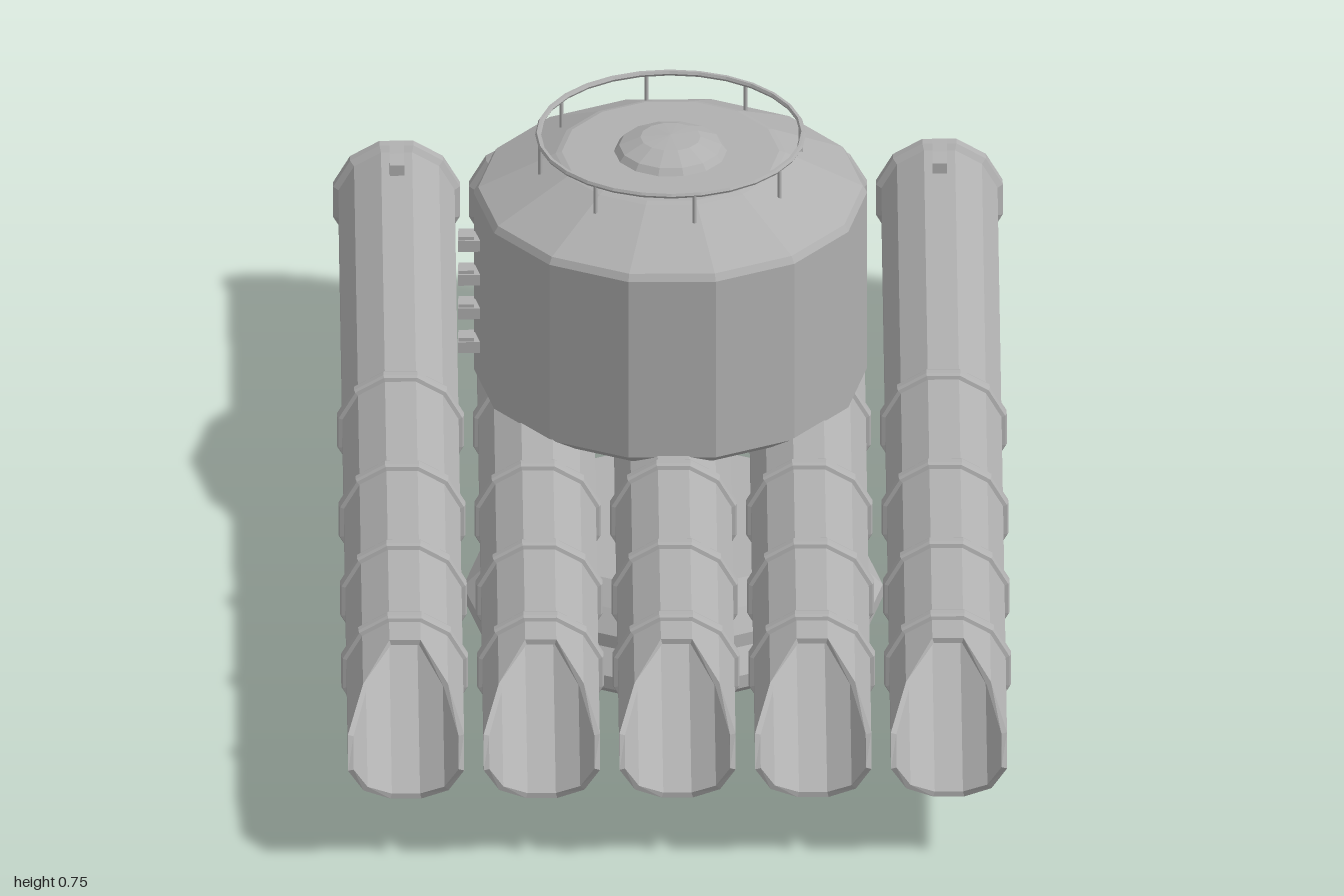
import * as THREE from 'three';

const TUBE_Y = 0.2115;

export function createModel() {
  const grey = new THREE.MeshStandardMaterial({ color: 0xb0b0b0, flatShading: true });
  grey.name = 'plain grey';
  const model = new THREE.Group();
  model.name = 'tubeLauncher';

  const add = (parent, name, geometry, x = 0, y = 0, z = 0) => {
    const mesh = new THREE.Mesh(geometry, grey);
    mesh.name = name;
    mesh.position.set(x, y, z);
    parent.add(mesh);
    return mesh;
  };
  const box = (parent, name, w, h, d, x, y, z) =>
    add(parent, name, new THREE.BoxGeometry(w, h, d), x, y, z);

  // faceted turned solid whose flats face +z and -z
  const turned = (profile, sides) => new THREE.LatheGeometry(
    profile.map(([r, y]) => new THREE.Vector2(r, y)), sides, Math.PI / sides);
  const along = (profile) => turned(profile, 12).rotateX(Math.PI / 2);

  // base pedestal
  add(model, 'basePedestal', turned([
    [0, 0], [0.335, 0], [0.347, 0.012], [0.347, 0.035], [0.313, 0.07],
    [0.313, 0.093], [0.285, 0.128], [0.25, 0.163], [0, 0.163],
  ], 14), 0, 0, 0.057);

  // tank with conical roof and low dome
  const tank = new THREE.Group();
  tank.name = 'tank';
  tank.position.set(-0.002, 0, -0.2);
  model.add(tank);
  add(tank, 'tankBody', turned([
    [0, 0.286], [0.3, 0.286], [0.325, 0.305], [0.325, 0.633], [0.318, 0.645],
    [0.19, 0.708], [0.18, 0.711], [0, 0.713],
  ], 14));
  add(tank, 'roofDome', turned([
    [0.095, 0.71], [0.085, 0.723], [0.05, 0.738], [0, 0.742],
  ], 14));

  // roof railing
  const rail = add(tank, 'railingHoop', new THREE.TorusGeometry(0.219, 0.005, 6, 28), 0, 0.743, 0);
  rail.rotation.x = Math.PI / 2;
  for (let i = 0; i < 8; i++) {
    const a = THREE.MathUtils.degToRad(10 + i * 45);
    add(tank, 'railingPost', new THREE.CylinderGeometry(0.004, 0.004, 0.054, 6),
      0.219 * Math.sin(a), 0.716, 0.219 * Math.cos(a));
  }

  // steps on the side of the tank
  for (let i = 0; i < 4; i++) {
    const y = 0.37 + i * 0.063;
    box(tank, 'sideStep', 0.04, 0.02, 0.036, -0.332, y - 0.002, 0.025);
    box(tank, 'sideStepLip', 0.026, 0.028, 0.03, -0.338, y, 0.025);
  }

  // hollow tube: closed at the back, mouth cut to a scoop
  const tubeShape = along([
    [0, -0.99], [0.0995, -0.99], [0.0995, 1], [0.09, 1], [0.09, -0.95], [0, -0.95],
  ]);
  const cut = [[-0.966, 0.965], [-0.707, 0.985], [-0.259, 1], [0.259, 0.97], [0.707, 0.875], [0.966, 0.767]];
  const pos = tubeShape.attributes.position;
  for (let i = 0; i < pos.count; i++) {
    if (pos.getZ(i) < 0.9) continue;
    const u = pos.getY(i) / Math.hypot(pos.getX(i), pos.getY(i));
    const nearest = cut.reduce((a, b) => (Math.abs(b[0] - u) < Math.abs(a[0] - u) ? b : a));
    pos.setZ(i, nearest[1]);
  }
  tubeShape.computeVertexNormals();

  const bandShape = along([
    [0.098, -0.014], [0.106, -0.012], [0.1085, -0.006], [0.1085, 0.006], [0.106, 0.012], [0.098, 0.014],
  ]);
  const capShape = along([
    [0, -1], [0.094, -1], [0.1085, -0.992], [0.1085, -0.975], [0.098, -0.966],
  ]);

  // lifting lug outline, drawn in the z-y plane
  const lug = new THREE.Shape([
    [-0.945, 0.335], [-0.935, 0.347], [-0.895, 0.343], [-0.87, 0.334], [-0.87, 0.315],
    [-0.893, 0.312], [-0.893, 0.295], [-0.935, 0.295], [-0.935, 0.315],
  ].map(([z, y]) => new THREE.Vector2(-z, y - TUBE_Y)));
  const lugShape = new THREE.ExtrudeGeometry(lug, { depth: 0.024, bevelEnabled: false })
    .translate(0, 0, -0.012).rotateY(Math.PI / 2);

  for (let i = -2; i <= 2; i++) {
    const tube = new THREE.Group();
    tube.name = 'launchTube';
    tube.position.set(i * 0.2245, TUBE_Y, 0);
    model.add(tube);
    add(tube, 'tubeBody', tubeShape);
    add(tube, 'rearCap', capShape);
    add(tube, 'liftingLug', lugShape);
    for (const z of [0.69, 0.433, 0.152, -0.165]) add(tube, 'tubeBand', bandShape, 0, 0, z);
  }

  // small rack and bracket on the left outer tube
  box(model, 'rackBar', 0.02, 0.012, 0.225, 0.518, 0.107, 0.072);
  for (let i = 0; i < 5; i++) box(model, 'rackPeg', 0.016, 0.04, 0.012, 0.518, 0.124, 0.172 - i * 0.048);
  const bracket = box(model, 'sideBracket', 0.034, 0.036, 0.054, 0.535, 0.146, -0.305);
  bracket.rotation.x = -0.12;

  return model;
}
